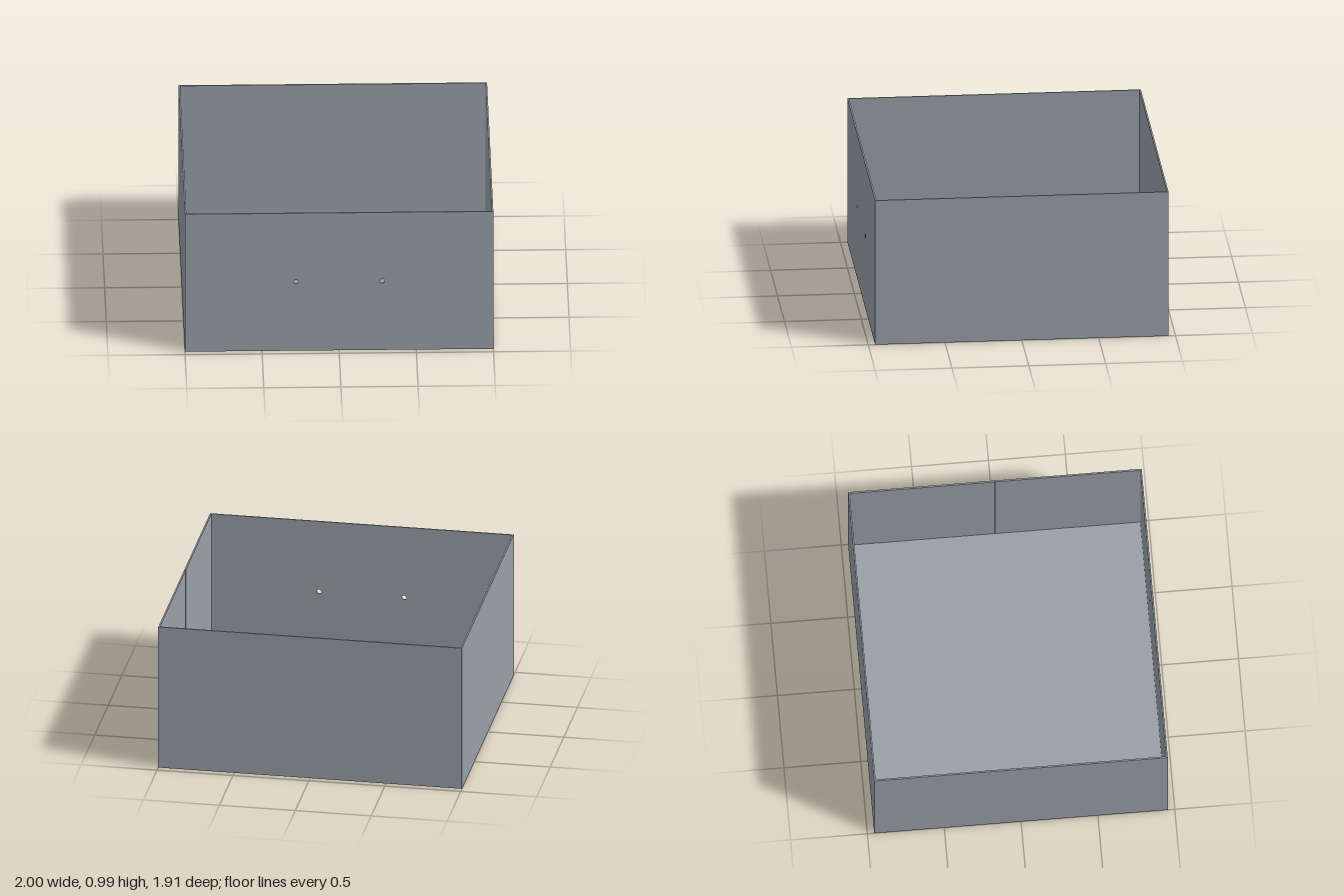
import * as THREE from 'three';

const W = 2, H = 0.99, D = 1.91, T = 0.01; // outer size and wall thickness
const HOLE_X = 0.28, HOLE_Y = H / 2, HOLE_R = 0.015;

export function createModel() {
  const group = new THREE.Group();
  const material = new THREE.MeshStandardMaterial({ color: 0x98a0a7 });
  const add = (name, geometry, x, y, z) => {
    const mesh = new THREE.Mesh(geometry, material);
    mesh.name = name;
    mesh.position.set(x, y, z);
    group.add(mesh);
    return mesh;
  };

  // floor and back panel
  add('floor', new THREE.BoxGeometry(W - 2 * T, T, D - 2 * T), 0, T / 2, 0);
  add('backWall', new THREE.BoxGeometry(W, H, T), 0, H / 2, -D / 2 + T / 2);

  // front panel with two small screw holes
  const front = new THREE.Shape([
    new THREE.Vector2(-W / 2, 0), new THREE.Vector2(W / 2, 0),
    new THREE.Vector2(W / 2, H), new THREE.Vector2(-W / 2, H),
  ]);
  for (const side of [-1, 1]) {
    const hole = new THREE.Path();
    hole.absarc(side * HOLE_X, HOLE_Y, HOLE_R, 0, Math.PI * 2, true);
    front.holes.push(hole);
  }
  add('frontWall', new THREE.ExtrudeGeometry(front, { depth: T, bevelEnabled: false, curveSegments: 24 }),
    0, 0, D / 2 - T);

  // side panels, each with a fine vertical groove halfway along the inner face
  const outer = W / 2, inner = outer - T, end = D / 2 - T, g = 0.004;
  const plan = new THREE.Shape([
    [outer, -end], [outer, end], [inner, end], [inner, g],
    [inner + T / 2, g], [inner + T / 2, -g], [inner, -g], [inner, -end],
  ].map(([x, z]) => new THREE.Vector2(x, z)));
  const sideGeometry = new THREE.ExtrudeGeometry(plan, { depth: H, bevelEnabled: false });
  sideGeometry.rotateX(-Math.PI / 2);
  add('leftWall', sideGeometry, 0, 0, 0);
  add('rightWall', sideGeometry, 0, 0, 0).rotation.y = Math.PI;

  return group;
}
